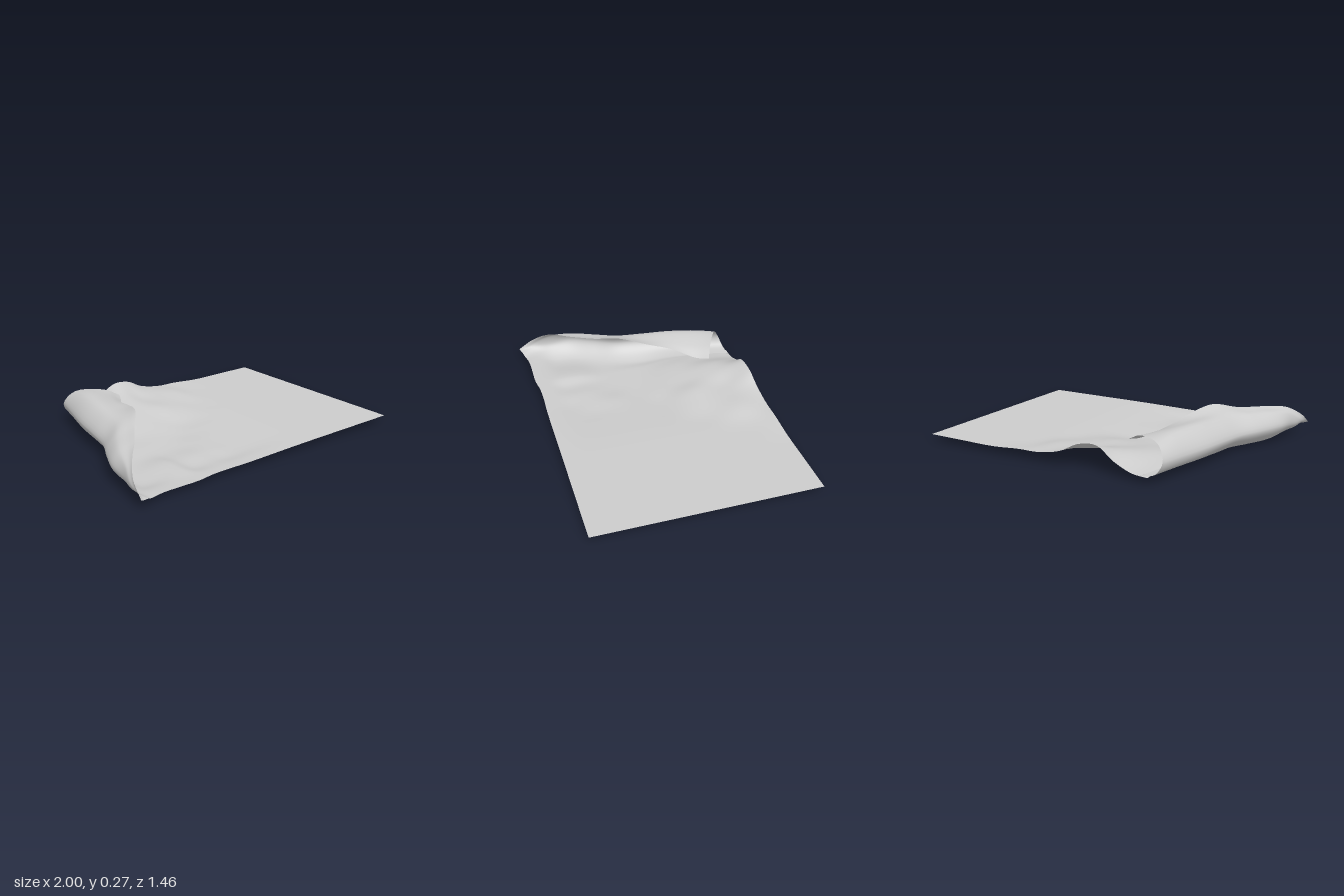
import * as THREE from 'three';

const smooth = (a, b, x) => THREE.MathUtils.smoothstep(x, a, b);
const bell = (d, w) => Math.exp(-(d * d) / (w * w));

// Height of the lying part of the sheet: flat at right, sagging and wrinkled at left
function sheetHeight(x, z) {
  const left = 1 - smooth(-0.55, 0.35, x);
  const middle = smooth(-0.42, -0.15, z) * (1 - smooth(0.45, 0.67, z));
  const sag = left * (0.008 + 0.036 * middle);
  const d = x + 0.2 + 0.5 * (z + 0.73);
  const ridge = 0.132 * bell(d, d > 0 ? 0.21 : 0.17) * Math.exp(-(z + 0.73) / 0.32);
  const shoulder = 0.04 * bell(x + 0.03 + 0.8 * (z + 0.4), 0.14) * bell(z + 0.45, 0.32);
  const frontWrinkle = 0.022 * bell(x + 0.32 + 0.5 * (z - 0.35), 0.12) * bell(z - 0.38, 0.2);
  const leftWrinkle = 0.05 * bell(x + 0.62 + 0.5 * (z - 0.45), 0.1) * bell(z - 0.46, 0.14);
  return 0.05 - sag + ridge + shoulder + frontWrinkle + leftWrinkle;
}

// Rows from back to front: z, fold x, fold y, top x, top y, free edge x, y, z
const rows = [
  [-0.73, -0.65, 0.13, -0.59, 0.212, -0.33, 0.165, -0.5],
  [-0.55, -0.69, 0.13, -0.61, 0.235, -0.37, 0.16, -0.42],
  [-0.32, -0.745, 0.13, -0.65, 0.24, -0.46, 0.205, -0.27],
  [-0.1, -0.78, 0.125, -0.69, 0.23, -0.51, 0.242, -0.11],
  [0.05, -0.81, 0.12, -0.73, 0.22, -0.59, 0.278, 0.08],
  [0.2, -0.88, 0.12, -0.82, 0.205, -0.7, 0.24, 0.23],
  [0.36, -0.945, 0.12, -0.9, 0.195, -0.8, 0.225, 0.38],
  [0.5, -0.96, 0.1, -0.95, 0.165, -0.91, 0.205, 0.52],
  [0.6, -0.975, 0.08, -0.985, 0.105, -0.98, 0.14, 0.63],
  [0.677, -0.95, 0.056, -0.975, 0.06, -1, 0.067, 0.73],
];

// One section across the sheet, from the right edge round the fold to the free edge
function section([z, fx, fy, tx, ty, ex, ey, ez], index) {
  const back = index === 0;
  const front = index === rows.length - 1;
  const pts = [1, 0.75, 0.5, 0.3, 0.15, 0, -0.12, -0.24, -0.36, -0.48, -0.58].map((x) => {
    let edge = 0;
    if (back) edge = 0.018 * bell(x + 0.22, 0.15);
    if (front) edge = 0.016 * bell(x + 0.63, 0.08) - 0.006 * bell(x + 0.38, 0.12);
    return new THREE.Vector3(x, sheetHeight(x, z), z + edge);
  });
  // How far each point of the curl has swung towards the free edge
  const swing = front ? [0.2, 0.5, 0.7, 0.85] : [0.02, 0.06, 0.18, 0.42];
  const zAt = (t) => z + (ez - z) * t;
  // The free flap droops more towards the back corner
  const bulge = 0.03 * (1 - smooth(-0.73, -0.1, z));
  const lerp = THREE.MathUtils.lerp;
  pts.push(
    new THREE.Vector3(fx + 0.12, Math.min(0.06, sheetHeight(fx + 0.12, z)), zAt(swing[0])),
    new THREE.Vector3(fx + 0.035, 0.035 + fy * 0.2, zAt(swing[1])),
    new THREE.Vector3(fx, fy, zAt(swing[2])),
    new THREE.Vector3(tx, ty, zAt(swing[3])),
    new THREE.Vector3(lerp(tx, ex, 0.65), lerp(ty, ey, 0.65) + bulge, zAt(lerp(swing[3], 1, 0.7))),
    new THREE.Vector3(ex, ey, ez),
  );
  // The same number of steps in every row
  const curve = new THREE.CatmullRomCurve3(pts, false, 'centripetal');
  const steps = (pts.length - 1) * 5;
  return Array.from({ length: steps + 1 }, (_, i) => curve.getPoint(i / steps));
}

// Loft the sections smoothly from back to front
function sheetGeometry() {
  const sections = rows.map(section);
  const columns = sections[0].length;
  const lines = 55;
  const positions = [];
  const indices = [];
  const lengthwise = sections[0].map(
    (_, j) => new THREE.CatmullRomCurve3(sections.map((s) => s[j]), false, 'centripetal'),
  );
  for (let i = 0; i < lines; i++) {
    for (let j = 0; j < columns; j++) {
      const p = lengthwise[j].getPoint(i / (lines - 1));
      positions.push(p.x, p.y, p.z);
      if (i < lines - 1 && j < columns - 1) {
        const a = i * columns + j;
        const b = a + columns;
        indices.push(a, a + 1, b, a + 1, b + 1, b);
      }
    }
  }
  const geometry = new THREE.BufferGeometry();
  geometry.setAttribute('position', new THREE.Float32BufferAttribute(positions, 3));
  geometry.setIndex(indices);
  geometry.computeVertexNormals();
  return geometry;
}

export function createModel() {
  const model = new THREE.Group();
  model.name = 'foldedCloth';
  const cloth = new THREE.MeshStandardMaterial({ color: 0xcccccc, side: THREE.DoubleSide });
  cloth.name = 'greyCloth';
  const sheet = new THREE.Mesh(sheetGeometry(), cloth);
  sheet.name = 'clothSheet';
  model.add(sheet);
  return model;
}
